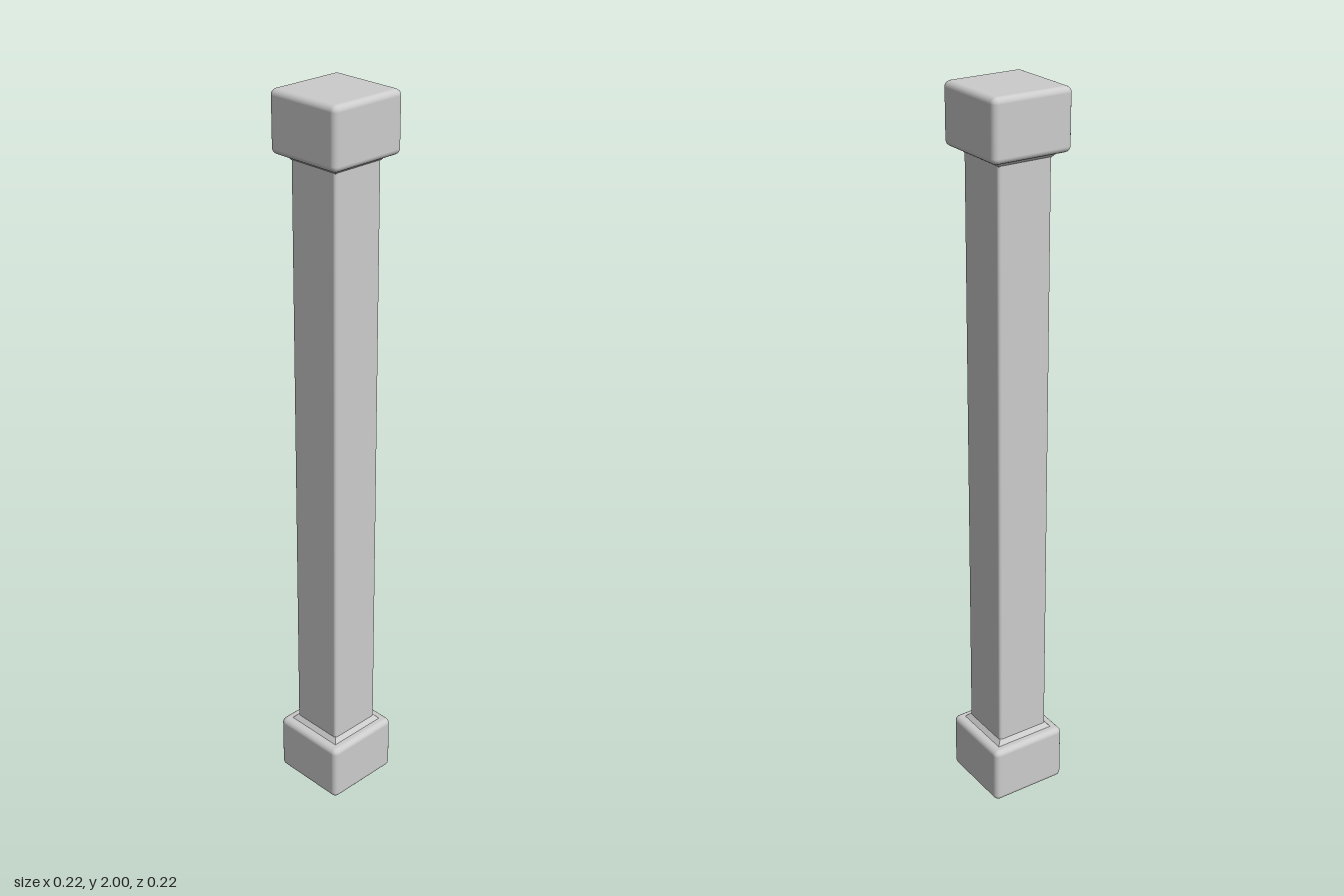
import * as THREE from 'three';
import { RoundedBoxGeometry } from 'three/addons/geometries/RoundedBoxGeometry.js';

const material = new THREE.MeshStandardMaterial({ color: 0xcccccc });
const flatMaterial = new THREE.MeshStandardMaterial({ color: 0xcccccc, flatShading: true });

// Upright square block with softened edges, spanning y0 to y1
function block(name, width, y0, y1, radius) {
  const mesh = new THREE.Mesh(new RoundedBoxGeometry(width, y1 - y0, width, 3, radius), material);
  mesh.name = name;
  mesh.position.y = (y0 + y1) / 2;
  return mesh;
}

// Square flare joining the shaft to an end block
function collar(name, bottomWidth, topWidth, y0, y1) {
  const geometry = new THREE.CylinderGeometry(topWidth * Math.SQRT1_2, bottomWidth * Math.SQRT1_2, y1 - y0, 4, 1, true);
  geometry.rotateY(Math.PI / 4);
  const mesh = new THREE.Mesh(geometry, flatMaterial);
  mesh.name = name;
  mesh.position.y = (y0 + y1) / 2;
  return mesh;
}

export function createModel() {
  const post = new THREE.Group();
  post.name = 'post';
  post.add(
    block('base', 0.225, 0, 0.167, 0.016),
    collar('baseCollar', 0.182, 0.15, 0.163, 0.182),
    block('shaft', 0.154, 0.1, 1.9, 0.008),
    collar('capCollar', 0.15, 0.182, 1.826, 1.845),
    block('cap', 0.225, 1.841, 2, 0.016)
  );
  return post;
}
